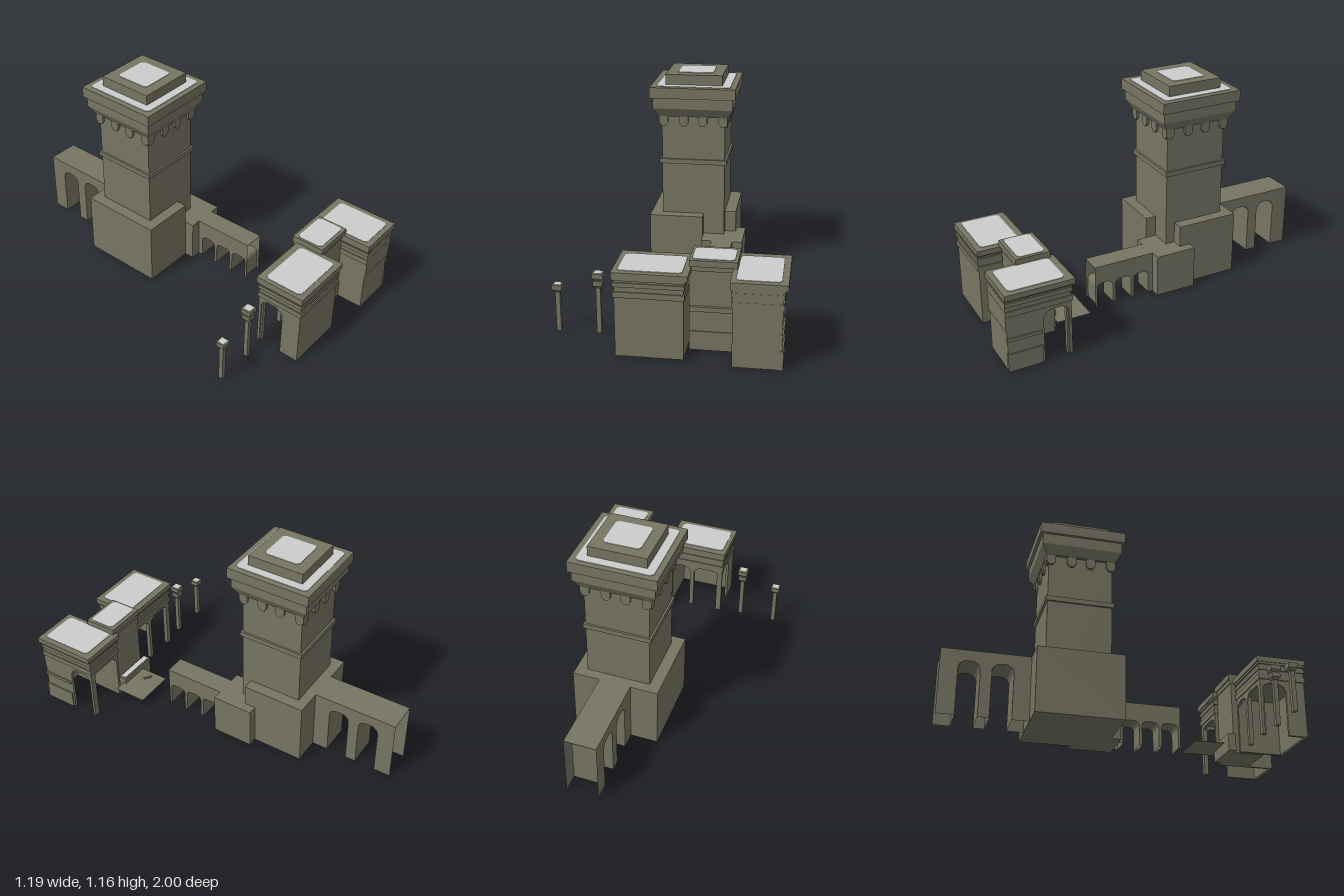
import * as THREE from 'three';

const stone = new THREE.MeshStandardMaterial({ color: 0x777562, side: THREE.DoubleSide });
stone.name = 'olive stone';
const pale = new THREE.MeshStandardMaterial({ color: 0xcccccc });
pale.name = 'pale roof';

function add(group, name, geometry, material = stone) {
  const mesh = new THREE.Mesh(geometry, material);
  mesh.name = name;
  group.add(mesh);
  return mesh;
}

// Box given by its bounds
function box(group, name, x0, x1, y0, y1, z0, z1, material) {
  const g = new THREE.BoxGeometry(x1 - x0, y1 - y0, z1 - z0);
  g.translate((x0 + x1) / 2, (y0 + y1) / 2, (z0 + z1) / 2);
  return add(group, name, g, material);
}

// Square block with different half widths at bottom and top
function taper(group, name, x, z, y0, y1, r0, r1) {
  const g = new THREE.CylinderGeometry(r1 * Math.SQRT2, r0 * Math.SQRT2, y1 - y0, 4, 1).toNonIndexed();
  g.rotateY(Math.PI / 4);
  g.translate(x, (y0 + y1) / 2, z);
  g.computeVertexNormals();
  return add(group, name, g);
}

const polygon = pts => new THREE.Shape(pts.map(p => new THREE.Vector2(...p)));

// Thin pale roof plate with clipped corners
function roofPlate(group, x0, x1, z0, z1, y, c = 0.015) {
  const s = polygon([[x0 + c, -z1], [x1 - c, -z1], [x1, -z1 + c], [x1, -z0 - c],
    [x1 - c, -z0], [x0 + c, -z0], [x0, -z0 - c], [x0, -z1 + c]]);
  const g = new THREE.ExtrudeGeometry(s, { depth: 0.003, bevelEnabled: false });
  g.rotateX(-Math.PI / 2);
  g.translate(0, y, 0);
  add(group, 'roofPlate', g, pale);
}

// Points of the lower edge of a wall, running around each arch opening
function archEdge(u0, u1, arches, top, c) {
  const pts = [[u0, 0]];
  for (const [a, b] of arches) {
    pts.push([a, 0], [a, top - c], [a + c * 0.3, top - c * 0.4], [a + c, top],
      [b - c, top], [b - c * 0.3, top - c * 0.4], [b, top - c], [b, 0]);
  }
  pts.push([u1, 0]);
  return pts;
}

// Hollow arcade running along z: two pierced sides, arch linings and a roof
function arcade(parent, name, x0, x1, z0, z1, h, arches, top, c) {
  const group = new THREE.Group();
  group.name = name;
  const edge = archEdge(z0, z1, arches, top, c);
  for (const x of [x0, x1]) {
    const g = new THREE.ShapeGeometry(polygon([...edge, [z1, h], [z0, h]]));
    g.rotateY(-Math.PI / 2);
    g.translate(x, 0, 0);
    add(group, 'arcadeSide', g);
  }
  const pos = [];
  for (let i = 0; i + 1 < edge.length; i++) {
    const [za, ya] = edge[i], [zb, yb] = edge[i + 1];
    if (ya === 0 && yb === 0) continue;
    pos.push(x0, ya, za, x1, ya, za, x1, yb, zb, x0, ya, za, x1, yb, zb, x0, yb, zb);
  }
  const lining = new THREE.BufferGeometry();
  lining.setAttribute('position', new THREE.Float32BufferAttribute(pos, 3));
  lining.computeVertexNormals();
  add(group, 'archLining', lining);
  box(group, 'arcadeRoof', x0, x1, h - 0.003, h, z0, z1);
  parent.add(group);
}

// Solid wall with arches, along x or along z
function archWall(group, name, axis, at, u0, u1, h, arches, top, c, t = 0.015) {
  const s = polygon([...archEdge(u0, u1, arches, top, c), [u1, h], [u0, h]]);
  const g = new THREE.ExtrudeGeometry(s, { depth: t, bevelEnabled: false });
  if (axis === 'z') {
    g.rotateY(-Math.PI / 2);
    g.translate(at + t, 0, 0);
  } else g.translate(0, 0, at);
  add(group, name, g);
}

function buildTower(root) {
  const tower = new THREE.Group();
  tower.name = 'tower';
  const z = -0.293;
  // Base with a notched corner
  const plan = polygon([[-0.24, 0.055], [0.06, 0.055], [0.06, 0.17], [0.24, 0.17], [0.24, 0.525], [-0.24, 0.525]]);
  const base = new THREE.ExtrudeGeometry(plan, { depth: 0.36, bevelEnabled: false });
  base.rotateX(-Math.PI / 2);
  add(tower, 'towerBase', base);
  taper(tower, 'shaft', 0, z, 0.003, 0.94, 0.177, 0.177);
  taper(tower, 'beltCourse', 0, z, 0.655, 0.682, 0.188, 0.188);
  // Rounded brackets below the flared head
  const s = new THREE.Shape();
  s.moveTo(0.025, 0.06);
  s.lineTo(-0.025, 0.06);
  s.lineTo(-0.025, 0.02);
  s.lineTo(-0.012, 0);
  s.lineTo(0.012, 0);
  s.lineTo(0.025, 0.02);
  for (let side = 0; side < 4; side++) {
    for (const x of [-0.167, -0.053, 0.053, 0.167]) {
      const g = new THREE.ExtrudeGeometry(s, { depth: 0.022, bevelEnabled: false });
      g.translate(x, 0.875, 0.17);
      g.rotateY(side * Math.PI / 2);
      g.translate(0, 0, z);
      add(tower, 'bracket', g);
    }
  }
  taper(tower, 'flare', 0, z, 0.93, 0.98, 0.193, 0.222);
  taper(tower, 'head', 0, z, 0.98, 1.04, 0.222, 0.222);
  taper(tower, 'parapet', 0, z, 1.04, 1.1, 0.237, 0.237);
  taper(tower, 'topBlock', 0, z, 1.1, 1.16, 0.158, 0.158);
  roofPlate(tower, -0.205, 0.205, z - 0.207, z + 0.207, 1.1);
  roofPlate(tower, -0.1, 0.1, z - 0.1, z + 0.1, 1.16);
  box(tower, 'sideBlock', 0.06, 0.292, 0, 0.24, -0.235, 0);
  root.add(tower);
}

// Open-backed house: front wall, arched side and back, cornice, mouldings, roof
function house(root, name, x0, x1, z0, z1, openSide, columns, backArches) {
  const g = new THREE.Group();
  g.name = name;
  box(g, 'frontWall', x0, x1, 0, 0.41, z1 - 0.02, z1);
  const arch = [[z0 + 0.012, z0 + 0.15]];
  for (const side of [-1, 1]) {
    const at = side < 0 ? x0 : x1 - 0.015;
    archWall(g, 'sideWall', 'z', at, z0, z1 - 0.02, 0.41, side === openSide ? arch : [], 0.29, 0.04);
  }
  archWall(g, 'backWall', 'x', z0, x0, x1, 0.41, backArches, 0.29, 0.04);
  for (const x of columns) box(g, 'backColumn', x - 0.012, x + 0.012, 0, 0.3, z0, z0 + 0.024);
  box(g, 'ceiling', x0, x1, 0.395, 0.41, z0, z1);
  for (const [a, b, d] of [[0.31, 0.34, 0.006], [0.365, 0.387, 0.006], [0.398, 0.41, 0.008]]) {
    box(g, 'moulding', x0 - d, x1 + d, a, b, z0 - d, z1 + d);
  }
  box(g, 'cornice', x0 - 0.012, x1 + 0.022, 0.41, 0.44, z0 - 0.014, z1 + 0.01);
  roofPlate(g, x0 + 0.012, x1 - 0.01, z0 + 0.025, z1 - 0.02, 0.44);
  root.add(g);
  return g;
}

function buildHouses(root) {
  house(root, 'leftHouse', -0.235, 0.1, 0.694, 0.952, -1, [-0.215, -0.04],
    [[-0.225, -0.05], [-0.03, 0.09]]);
  const right = house(root, 'rightHouse', 0.335, 0.572, 0.645, 0.988, 1, [0.55], [[0.35, 0.562]]);
  box(right, 'sidePlinth', 0.56, 0.579, 0, 0.1, 0.807, 0.991);
  box(right, 'sideBand', 0.56, 0.579, 0.17, 0.188, 0.807, 0.991);
  box(right, 'frontSill', 0.335, 0.572, 0.228, 0.4, 0.985, 0.993);

  // Taller middle house
  const mid = new THREE.Group();
  mid.name = 'middleHouse';
  box(mid, 'body', 0.11, 0.345, 0, 0.44, 0.665, 0.825);
  box(mid, 'plinth', 0.11, 0.345, 0, 0.1, 0.82, 0.84);
  box(mid, 'lowerWall', 0.11, 0.345, 0.1, 0.205, 0.82, 0.834);
  box(mid, 'sill', 0.11, 0.345, 0.205, 0.23, 0.82, 0.84);
  box(mid, 'upperBand', 0.11, 0.345, 0.415, 0.44, 0.66, 0.832);
  box(mid, 'cornice', 0.11, 0.345, 0.44, 0.473, 0.653, 0.84);
  roofPlate(mid, 0.122, 0.33, 0.675, 0.822, 0.473);
  box(mid, 'backStep', 0.075, 0.312, 0, 0.1, 0.622, 0.665);
  roofPlate(mid, 0.085, 0.302, 0.63, 0.66, 0.1, 0.005);
  root.add(mid);

  // Thin platform behind the houses with a small handle on it
  box(root, 'platform', 0.145, 0.375, 0.062, 0.065, 0.45, 0.64);
  const handle = box(root, 'handle', -0.025, 0.025, 0.068, 0.075, -0.006, 0.006);
  handle.rotation.y = -0.6;
  handle.position.set(0.2, 0, 0.545);
}

function buildColumns(root) {
  const short = new THREE.Group();
  short.name = 'shortColumn';
  taper(short, 'shaft', -0.574, 0.722, 0, 0.22, 0.012, 0.012);
  taper(short, 'capital', -0.574, 0.722, 0.215, 0.23, 0.013, 0.025);
  taper(short, 'capBlock', -0.574, 0.722, 0.23, 0.255, 0.025, 0.025);
  roofPlate(short, -0.592, -0.556, 0.704, 0.74, 0.255, 0.003);
  const tall = new THREE.Group();
  tall.name = 'tallColumn';
  taper(tall, 'shaft', -0.364, 0.722, 0, 0.26, 0.012, 0.012);
  taper(tall, 'lowerCapital', -0.364, 0.722, 0.25, 0.264, 0.014, 0.024);
  taper(tall, 'lowerBlock', -0.364, 0.722, 0.264, 0.29, 0.024, 0.024);
  taper(tall, 'upperCapital', -0.364, 0.722, 0.29, 0.305, 0.016, 0.028);
  taper(tall, 'capBlock', -0.364, 0.722, 0.305, 0.33, 0.028, 0.028);
  roofPlate(tall, -0.384, -0.344, 0.702, 0.742, 0.33, 0.003);
  root.add(short, tall);
}

export function createModel() {
  const root = new THREE.Group();
  root.name = 'fortress';
  buildTower(root);
  arcade(root, 'backArcade', -0.088, 0.088, -1, -0.525, 0.36,
    [[-0.905, -0.79], [-0.73, -0.615]], 0.3, 0.035);
  arcade(root, 'frontArcade', 0.118, 0.235, 0, 0.355, 0.24,
    [[0.027, 0.118], [0.135, 0.23], [0.247, 0.342]], 0.137, 0.022);
  buildHouses(root);
  buildColumns(root);
  return root;
}
